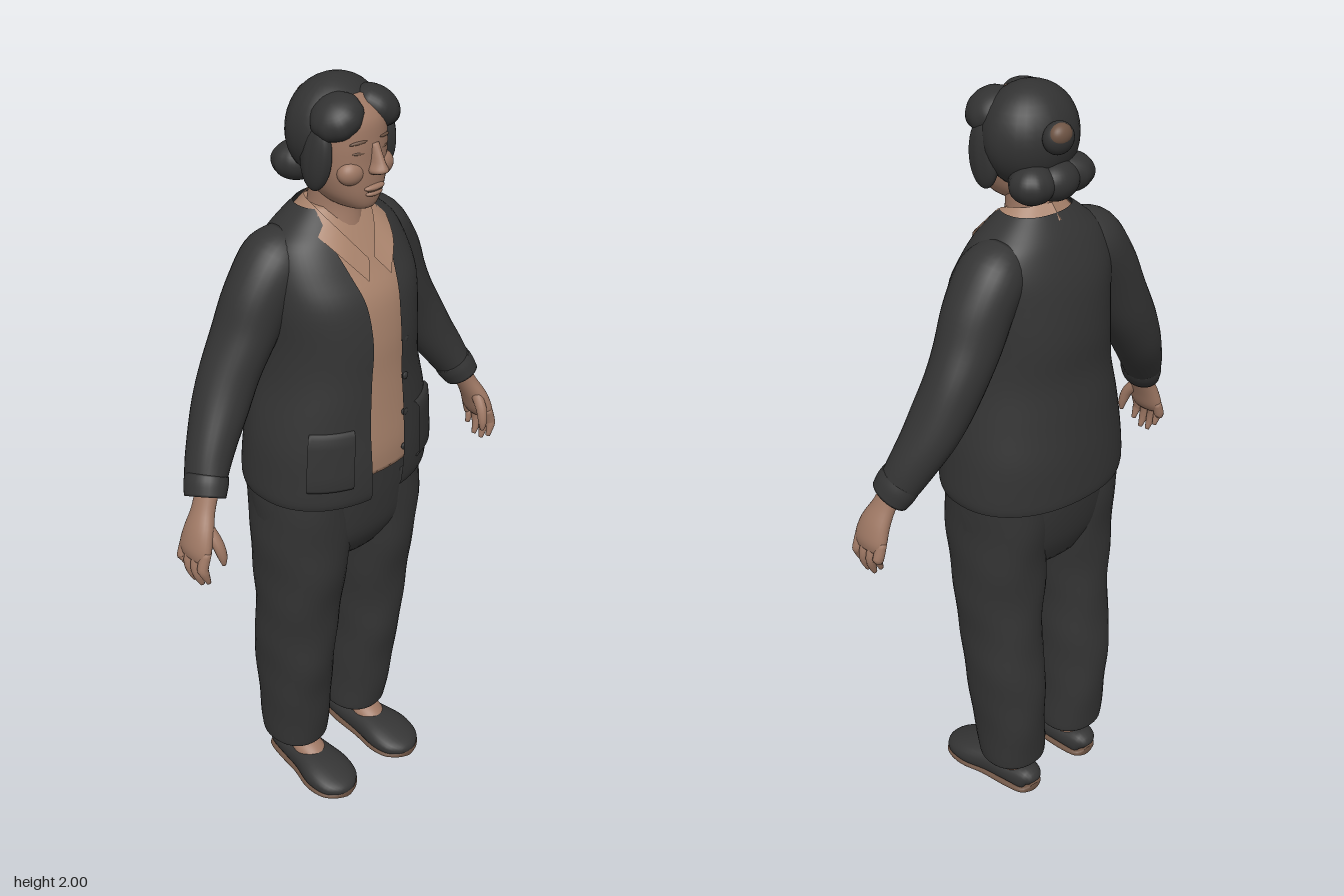
import * as THREE from 'three';

const mat = (name, color, side = THREE.FrontSide) => {
  const m = new THREE.MeshStandardMaterial({ color, side });
  m.name = name;
  return m;
};

// Catmull-Rom resampling of section rows
function smooth(rows, k) {
  const out = [];
  const at = (i) => rows[Math.min(Math.max(i, 0), rows.length - 1)];
  for (let i = 0; i < rows.length - 1; i++) {
    for (let j = 0; j < k; j++) {
      const t = j / k;
      out.push(rows[i].map((p1, c) => {
        const p0 = at(i - 1)[c], p2 = at(i + 1)[c], p3 = at(i + 2)[c];
        return p1 + 0.5 * t * (p2 - p0 + t * (2 * p0 - 5 * p1 + 4 * p2 - p3 + t * (3 * (p1 - p2) + p3 - p0)));
      }));
    }
  }
  out.push(rows[rows.length - 1]);
  return out;
}

// Skin over a grid of points; closed rings can be capped
function surface(grid, closed, caps) {
  const pos = [], idx = [], n = grid[0].length, m = closed ? n : n - 1;
  grid.forEach((row) => row.forEach((p) => pos.push(p.x, p.y, p.z)));
  for (let k = 0; k < grid.length - 1; k++) {
    for (let i = 0; i < m; i++) {
      const j = (i + 1) % n, a = k * n, b = a + n;
      idx.push(a + i, b + i, a + j, b + i, b + j, a + j);
    }
  }
  if (caps) {
    [0, grid.length - 1].forEach((k) => {
      const c = grid[k].reduce((s, p) => s.add(p), new THREE.Vector3()).divideScalar(n);
      const ci = pos.length / 3;
      pos.push(c.x, c.y, c.z);
      for (let i = 0; i < n; i++) {
        const a = k * n + i, b = k * n + (i + 1) % n;
        if (k === 0) idx.push(ci, a, b); else idx.push(ci, b, a);
      }
    });
  }
  const g = new THREE.BufferGeometry();
  g.setAttribute('position', new THREE.Float32BufferAttribute(pos, 3));
  g.setIndex(idx);
  g.computeVertexNormals();
  return g;
}

// Loft through sections [x, y, z, halfWidth, halfDepth, frontGap]
function loft(rows, { n = 28, k = 4, flat = false, ref = [0, 0, 1], power = 1, fold = 0, arc = null, floor = -1 } = {}) {
  const s = smooth(rows, k), open = arc || rows[0].length > 5;
  const P = s.map((r) => new THREE.Vector3(r[0], r[1], r[2])), R = new THREE.Vector3(...ref);
  const pw = (v) => Math.sign(v) * Math.abs(v) ** power;
  const grid = s.map((r, q) => {
    const t = flat ? new THREE.Vector3(0, 1, 0)
      : P[Math.min(q + 1, P.length - 1)].clone().sub(P[Math.max(q - 1, 0)]).normalize();
    const u = t.clone().cross(R).normalize(), v = u.clone().cross(t);
    let from = 0, to = Math.PI * 2;
    if (arc) [from, to] = arc;
    else if (open) {
      const g = Math.asin(Math.min(Math.max(r[5] / r[3], 0), 1) ** (1 / power));
      from = Math.PI / 2 + g;
      to = Math.PI * 2.5 - g;
    }
    return Array.from({ length: n }, (_, i) => {
      const a = from + (to - from) * i / (open ? n - 1 : n);
      const w = 1 + fold * (Math.sin(3 * a + r[1] * 21) + 0.7 * Math.sin(2 * a - r[1] * 37));
      const p = P[q].clone().addScaledVector(u, pw(Math.cos(a)) * r[3] * w).addScaledVector(v, pw(Math.sin(a)) * r[4] * w);
      p.y = Math.max(p.y, floor);
      return p;
    });
  });
  return surface(grid, !open, !open);
}

// Upright section from half width, front z and back z
const body = (y, a, f, b, ...gap) => [0, y, (f + b) / 2, a, (f - b) / 2, ...gap];

export function createModel() {
  const model = new THREE.Group();
  model.name = 'standingWoman';
  const skin = mat('skin', 0x9e7864);
  const blouse = mat('blouse', 0xa9836c, THREE.DoubleSide);
  const cloth = mat('darkCloth', 0x343434, THREE.DoubleSide);
  const hair = mat('hair', 0x323232);
  const brown = mat('brown', 0x6e5444);

  const add = (name, geometry, material) => {
    const m = new THREE.Mesh(geometry, material);
    m.name = name;
    model.add(m);
    return m;
  };
  const blob = (name, material, [x, y, z], [a, b, c], [rx, ry, rz] = [0, 0, 0], ripple = 0) => {
    const g = new THREE.SphereGeometry(1, 32, 20), p = g.attributes.position;
    for (let i = 0; i < p.count; i++) {
      const w = 1 + ripple * Math.sin(9 * Math.atan2(p.getX(i), p.getZ(i))) * (1 - p.getY(i) ** 2);
      p.setXYZ(i, p.getX(i) * w * a, p.getY(i) * b, p.getZ(i) * w * c);
    }
    g.computeVertexNormals();
    const m = add(name, g, material);
    m.position.set(x, y, z);
    m.rotation.set(rx, ry, rz);
    return m;
  };

  // Cardigan, open at the front, and the blouse under it
  const jacket = [
    body(0.97, 0.245, 0.185, -0.2, 0.05), body(1.0, 0.25, 0.192, -0.203, 0.05),
    body(1.1, 0.245, 0.193, -0.2, 0.055), body(1.2, 0.23, 0.188, -0.19, 0.055),
    body(1.3, 0.208, 0.184, -0.182, 0.05), body(1.4, 0.202, 0.183, -0.184, 0.045),
    body(1.5, 0.205, 0.168, -0.176, 0.052), body(1.57, 0.202, 0.13, -0.162, 0.068),
    body(1.63, 0.178, 0.095, -0.14, 0.083), body(1.67, 0.135, 0.07, -0.118, 0.085),
    body(1.705, 0.092, 0.045, -0.092, 0.08),
  ];
  add('cardigan', loft(jacket, { n: 56, flat: true, power: 0.9, fold: 0.004 }), cloth);
  const inner = jacket.slice(2).map((r) => [r[0], r[1], r[2], r[3] - 0.016, r[4] - 0.013]);
  inner.unshift([0, 1.035, -0.004, 0.22, 0.18]);
  add('blouse', loft(inner, { n: 40, flat: true, power: 0.9 }), blouse);

  // Patch pockets and front buttons
  for (const s of [1, -1]) {
    const pocket = [1.03, 1.04, 1.12, 1.18, 1.19].map((y, i) => {
      const out = [0, 0.012, 0.014, 0.014, 0][i];
      return [0, y, -0.003, 0.246 - (y - 1.03) * 0.1 + out, 0.195 - (y - 1.03) * 0.03 + out];
    });
    const arc = s > 0 ? [0.62, 1.16] : [Math.PI - 1.16, Math.PI - 0.62];
    add('pocket', loft(pocket, { n: 14, k: 2, flat: true, power: 0.9, arc }), cloth);
  }
  for (let i = 0; i < 4; i++) blob('button', cloth, [0.064, 1.08 + i * 0.1, 0.183 - i * 0.003], [0.01, 0.01, 0.006]);

  // Blouse collar
  for (const s of [1, -1]) {
    const top = [[0, 1.725, -0.075], [0.06, 1.72, -0.045], [0.077, 1.71, 0.01], [0.055, 1.665, 0.068], [0.008, 1.595, 0.122]];
    const low = [[0, 1.69, -0.105], [0.085, 1.685, -0.065], [0.112, 1.675, 0.015], [0.085, 1.62, 0.105], [0.035, 1.555, 0.152]];
    const [a, b] = [top, low].map((pts) =>
      new THREE.CatmullRomCurve3(pts.map(([x, y, z]) => new THREE.Vector3(x * s, y, z))).getPoints(16));
    add('collar', surface(s > 0 ? [b, a] : [a, b], false, false), blouse);
  }

  // Trousers
  add('hips', loft([
    body(0.76, 0.15, 0.1, -0.12), body(0.83, 0.222, 0.137, -0.15), body(0.92, 0.238, 0.148, -0.168),
    body(1.0, 0.235, 0.15, -0.172), body(1.1, 0.21, 0.15, -0.16),
  ], { n: 40, flat: true, power: 0.9 }), cloth);
  const leg = [
    [0.112, 0.105, -0.045, 0.083, 0.088], [0.113, 0.13, -0.045, 0.087, 0.094], [0.12, 0.28, -0.04, 0.09, 0.11],
    [0.125, 0.42, -0.03, 0.095, 0.12], [0.125, 0.56, -0.018, 0.1, 0.12], [0.122, 0.7, -0.008, 0.11, 0.132],
    [0.12, 0.84, -0.006, 0.117, 0.144], [0.117, 0.98, -0.01, 0.12, 0.152],
  ];

  // Legs, shoes, arms and hands, built per side
  for (const s of [1, -1]) {
    const side = (rows) => rows.map(([x, ...r]) => [x * s, ...r]);
    add('trouserLeg', loft(side(leg), { n: 36, k: 6, flat: true, power: 0.92, fold: 0.013 }), cloth);
    add('ankle', loft(side([[0.11, 0.04, -0.05, 0.04, 0.055], [0.112, 0.09, -0.045, 0.045, 0.055], [0.112, 0.16, -0.045, 0.045, 0.05]]),
      { flat: true }), skin);
    blob('instep', skin, [s * 0.115, 0.062, 0.015], [0.042, 0.034, 0.065], [0.35, 0, 0]);
    const shoe = [
      [0.108, 0.03, -0.13, 0.014, 0.015], [0.108, 0.038, -0.115, 0.038, 0.034], [0.11, 0.04, -0.06, 0.05, 0.035],
      [0.114, 0.038, 0.02, 0.057, 0.04], [0.119, 0.032, 0.09, 0.07, 0.037], [0.12, 0.025, 0.145, 0.062, 0.027],
      [0.12, 0.02, 0.175, 0.035, 0.017], [0.12, 0.018, 0.185, 0.01, 0.007],
    ];
    add('shoe', loft(side(shoe), { ref: [0, 1, 0], power: 0.85, floor: 0.013 }), cloth);
    add('sole', loft(side(shoe.map(([x, , z, a]) => [x, 0.01, z, a + 0.003, 0.01])), { ref: [0, 1, 0], power: 0.7 }), brown);

    add('sleeve', loft(side([
      [0.11, 1.625, -0.04, 0.05, 0.06], [0.155, 1.585, -0.042, 0.078, 0.085], [0.205, 1.51, -0.045, 0.082, 0.086],
      [0.25, 1.42, -0.048, 0.076, 0.08], [0.3, 1.33, -0.048, 0.07, 0.076], [0.35, 1.24, -0.036, 0.064, 0.07],
      [0.4, 1.155, -0.012, 0.054, 0.06], [0.432, 1.095, 0.01, 0.044, 0.052],
    ]), { n: 30, k: 5, fold: 0.012 }), cloth);
    add('cuff', loft(side([[0.418, 1.122, 0.002, 0.049, 0.056], [0.428, 1.103, 0.009, 0.05, 0.058], [0.441, 1.077, 0.02, 0.045, 0.055]])), cloth);
    add('palm', loft(side([
      [0.435, 1.09, 0.02, 0.025, 0.032], [0.455, 1.05, 0.028, 0.024, 0.034], [0.478, 1.005, 0.037, 0.026, 0.046],
      [0.492, 0.965, 0.04, 0.024, 0.052], [0.498, 0.94, 0.04, 0.015, 0.046],
    ])), skin);
    for (let i = 0; i < 4; i++) {
      const z = 0.079 - i * 0.026, tip = [0.885, 0.868, 0.87, 0.895][i];
      add('finger', loft(side([
        [0.49, 0.97, z, 0.013, 0.014], [0.503, 0.93, z, 0.014, 0.0145],
        [0.502, tip + 0.03, z + 0.004, 0.012, 0.012], [0.492, tip, z + 0.006, 0.006, 0.006],
      ]), { n: 12, k: 3 }), skin);
    }
    add('thumb', loft(side([
      [0.465, 1.02, 0.055, 0.014, 0.016], [0.46, 0.985, 0.083, 0.015, 0.015], [0.455, 0.95, 0.095, 0.012, 0.012], [0.453, 0.925, 0.097, 0.005, 0.005],
    ]), { n: 12, k: 3 }), skin);
  }

  // Neck, head and face
  add('neck', loft([body(1.6, 0.075, 0.08, -0.08), body(1.67, 0.066, 0.062, -0.08), body(1.72, 0.06, 0.055, -0.07), body(1.8, 0.06, 0.06, -0.06)],
    { flat: true }), skin);
  add('head', loft([
    body(1.712, 0.025, 0.1, 0.0), body(1.722, 0.046, 0.117, -0.03), body(1.75, 0.07, 0.125, -0.05), body(1.79, 0.085, 0.127, -0.06),
    body(1.83, 0.092, 0.126, -0.07), body(1.88, 0.094, 0.125, -0.08), body(1.93, 0.088, 0.115, -0.08), body(1.97, 0.05, 0.07, -0.04),
  ], { n: 36, flat: true, power: 0.92 }), skin);
  add('nose', loft([
    [0.004, 1.805, 0.125, 0.016, 0.016], [0.004, 1.815, 0.135, 0.022, 0.028], [0.004, 1.835, 0.13, 0.014, 0.024], [0.004, 1.875, 0.122, 0.01, 0.01],
  ], { n: 16, flat: true }), skin);
  blob('upperLip', skin, [0.003, 1.771, 0.124], [0.03, 0.008, 0.012]);
  blob('lowerLip', skin, [0.003, 1.757, 0.122], [0.025, 0.008, 0.012]);
  blob('mouthLine', brown, [0.003, 1.764, 0.128], [0.024, 0.002, 0.004]);
  for (const s of [1, -1]) {
    blob('cheek', skin, [s * 0.045, 1.81, 0.097], [0.035, 0.03, 0.028]);
    blob('eye', brown, [s * 0.038, 1.857, 0.116], [0.016, 0.004, 0.004], [0, s * 0.35, 0]);
    blob('brow', brown, [s * 0.04, 1.882, 0.116], [0.022, 0.004, 0.004], [0, s * 0.35, -s * 0.12]);
  }

  // Parted hair with side locks, a low roll and a small pinned knot
  blob('hairCap', hair, [0.008, 1.877, -0.012], [0.123, 0.123, 0.108], [0, 0, 0], 0.012);
  for (const s of [1, -1]) {
    blob('fringe', hair, [0.006 + s * 0.058, 1.93, 0.058], [0.062, 0.045, 0.062], [0.15, 0, -s * 0.55], 0.02);
    blob('sideLock', hair, [0.008 + s * 0.1, 1.84, 0.035], [0.024, 0.08, 0.045], [0.1, 0, s * 0.06], 0.03);
    blob('lowRoll', hair, [0.01 + s * 0.058, 1.79, -0.082], [0.06, 0.047, 0.055], [0, s * 0.4, 0], 0.03);
  }
  blob('rollCentre', hair, [0.01, 1.788, -0.098], [0.06, 0.047, 0.05]);
  blob('knot', hair, [0.03, 1.9, -0.125], [0.04, 0.038, 0.032]);
  blob('hairClip', brown, [0.035, 1.912, -0.137], [0.03, 0.026, 0.022]);
  return model;
}
